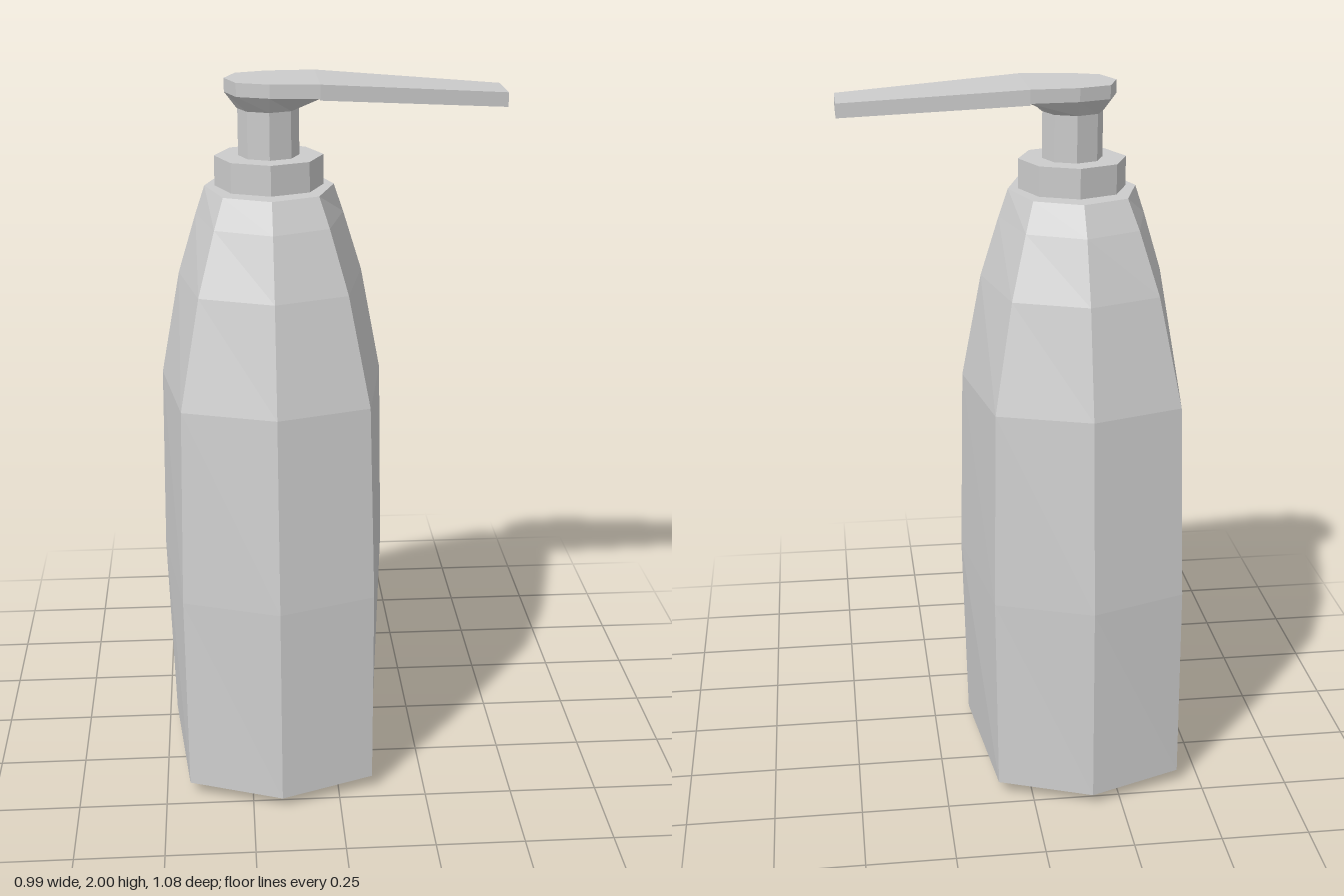
import * as THREE from 'three';

const AXIS = -0.167; // x of the bottle's vertical axis

// Eight-point ring: [y, half x, half z, diagonal x, diagonal z, y of diagonal points]
function ring([y, rx, rz, dx, dz, dy = y]) {
  return [[rx, y, 0], [dx, dy, dz], [0, y, rz], [-dx, dy, dz],
    [-rx, y, 0], [-dx, dy, -dz], [0, y, -rz], [dx, dy, -dz]];
}

// Regular octagon with a corner on each axis
function octagon(y, r) {
  return ring([y, r, r, r * Math.SQRT1_2, r * Math.SQRT1_2]);
}

// Closed faceted solid through rings ordered from bottom to top
function loft(rings, bottomY, topY) {
  const pos = [];
  const tri = (...pts) => pts.forEach((p) => pos.push(...p));
  const n = rings[0].length;
  const top = rings[rings.length - 1];
  for (let i = 0; i < n; i++) {
    const j = (i + 1) % n;
    for (let k = 0; k < rings.length - 1; k++) {
      const lo = rings[k], hi = rings[k + 1];
      tri(lo[i], hi[i], hi[j]);
      tri(lo[i], hi[j], lo[j]);
    }
    tri([0, bottomY, 0], rings[0][i], rings[0][j]);
    tri([0, topY, 0], top[j], top[i]);
  }
  const geo = new THREE.BufferGeometry();
  geo.setAttribute('position', new THREE.Float32BufferAttribute(pos, 3));
  geo.computeVertexNormals();
  return geo;
}

export function createModel() {
  const group = new THREE.Group();
  const material = new THREE.MeshStandardMaterial({ color: 0xcccccc, flatShading: true });
  const add = (name, geo) => {
    const mesh = new THREE.Mesh(geo, material);
    mesh.name = name;
    mesh.position.x = AXIS;
    group.add(mesh);
  };

  // Tapering bottle with a slightly pointed underside
  add('bottle', loft([
    [0.03, 0.31, 0.54, 0.265, 0.455, 0.04],
    [0.6, 0.327, 0.51, 0.27, 0.413],
    [1.15, 0.318, 0.443, 0.26, 0.358],
    [1.45, 0.262, 0.358, 0.205, 0.28],
    [1.62, 0.21, 0.28, 0.158, 0.207],
    [1.7, 0.183, 0.22, 0.132, 0.16],
  ].map(ring), 0, 1.7));

  // Screw collar and pump stem
  add('collar', loft([octagon(1.69, 0.154), octagon(1.785, 0.154)], 1.69, 1.785));
  add('stem', loft([octagon(1.77, 0.086), octagon(1.925, 0.086)], 1.77, 1.925));

  // Pump head: octagonal foot flaring to a plate that is straight on the spout side
  const plate = (y) => [[0.137, y, 0], [0.137, y, 0.134], [0, y, 0.125], [-0.09, y, 0.09],
    [-0.122, y, 0], [-0.09, y, -0.09], [0, y, -0.125], [0.137, y, -0.134]];
  add('pumpHead', loft([octagon(1.917, 0.088), plate(1.962), plate(2)], 1.917, 2));

  // Spout: a box narrowed and dropped towards its tip
  const spout = new THREE.BoxGeometry(1, 1, 1);
  const p = spout.attributes.position;
  for (let i = 0; i < p.count; i++) {
    const tip = p.getX(i) > 0;
    const up = p.getY(i) > 0;
    const y = tip ? (up ? 1.965 : 1.925) : (up ? 2 : 1.957);
    p.setXYZ(i, tip ? 0.66 : 0.137, y, Math.sign(p.getZ(i)) * (tip ? 0.082 : 0.134));
  }
  spout.computeVertexNormals();
  add('spout', spout);

  return group;
}
